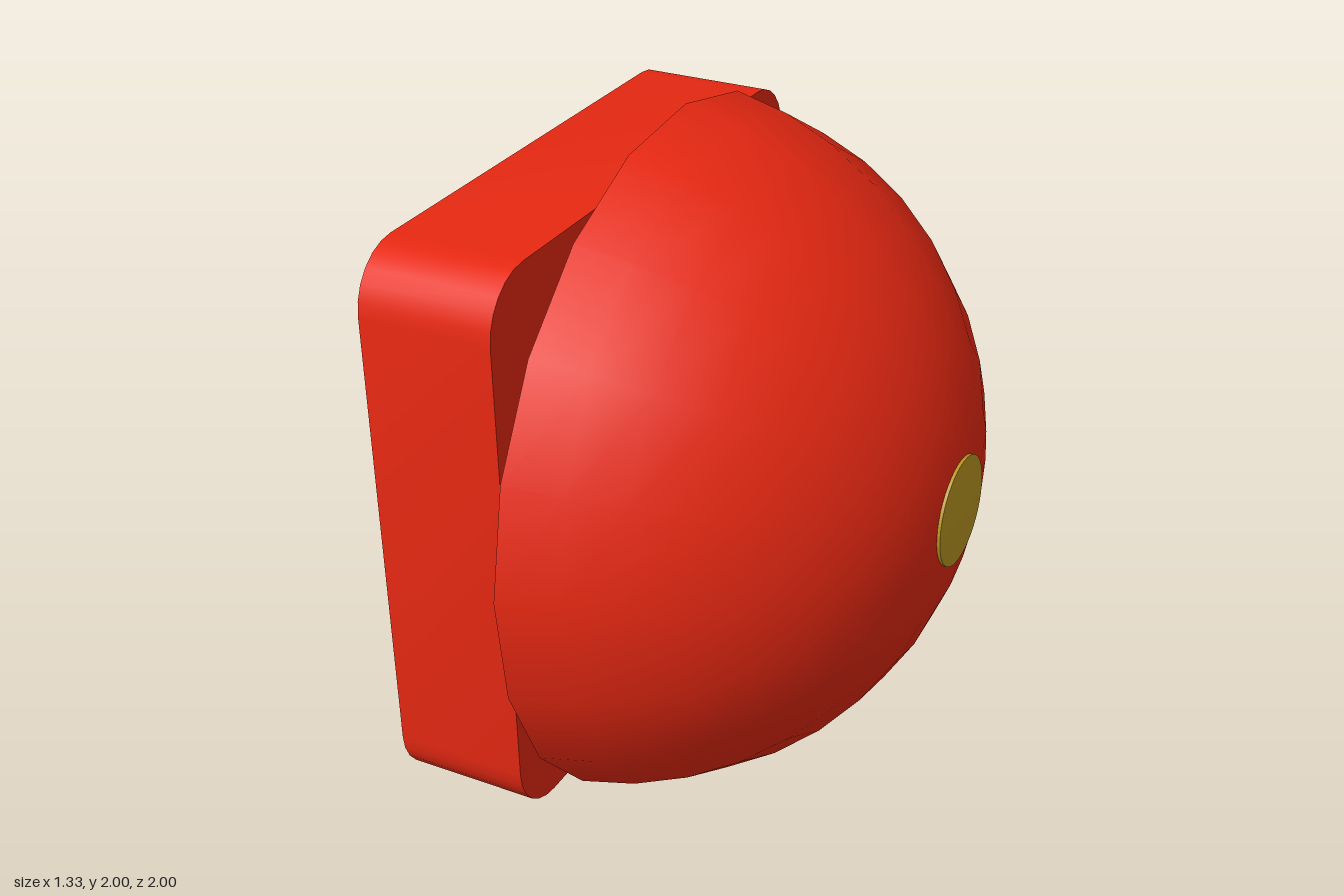
import * as THREE from 'three';
import { toCreasedNormals } from 'three/addons/utils/BufferGeometryUtils.js';

const red = new THREE.MeshStandardMaterial({ color: 0xe62812 });
const redShell = new THREE.MeshStandardMaterial({ color: 0xe62812, side: THREE.DoubleSide });
const brass = new THREE.MeshStandardMaterial({ color: 0xba9622 });

// Turns a (radius, x) profile around the x axis at height 1
function turned(name, profile, sides, phiStart, material) {
  const points = profile.map(([r, x]) => new THREE.Vector2(r, x));
  const geometry = new THREE.LatheGeometry(points, sides, phiStart).rotateZ(-Math.PI / 2);
  const mesh = new THREE.Mesh(geometry, material);
  mesh.name = name;
  mesh.position.y = 1;
  return mesh;
}

export function createModel() {
  const model = new THREE.Group();
  model.name = 'domeOnPlate';

  // Square back plate with rounded corners
  const h = 0.817, c = h - 0.165;
  const outline = new THREE.Shape();
  [[c, c], [-c, c], [-c, -c], [c, -c]].forEach(([x, y], i) => {
    outline.absarc(x, y, h - c, i * Math.PI / 2, (i + 1) * Math.PI / 2, false);
  });
  const slab = new THREE.ExtrudeGeometry(outline, { depth: 0.385, bevelEnabled: false, curveSegments: 3 });
  slab.rotateY(Math.PI / 2);
  const plate = new THREE.Mesh(toCreasedNormals(slab, 0.7), red);
  plate.name = 'backPlate';
  plate.position.set(-0.665, 1.003, 0);
  model.add(plate);

  // Hollow dome, open towards the plate
  const R = 1.0125, centre = -0.358;
  const arc = [];
  for (let i = 9; i >= 0; i--) {
    const a = i * Math.PI / 20;
    arc.push([R * Math.sin(a), centre + R * Math.cos(a)]);
  }
  arc[0] = [1, -0.2];
  model.add(turned('dome', arc, 20, -93 * Math.PI / 180, redShell));

  // Slightly domed button on the tip
  const button = turned('tipButton', [[0.157, 0.635], [0.157, 0.651], [0, 0.661]], 40, 0, brass);
  button.geometry = toCreasedNormals(button.geometry, 0.7);
  model.add(button);

  return model;
}
